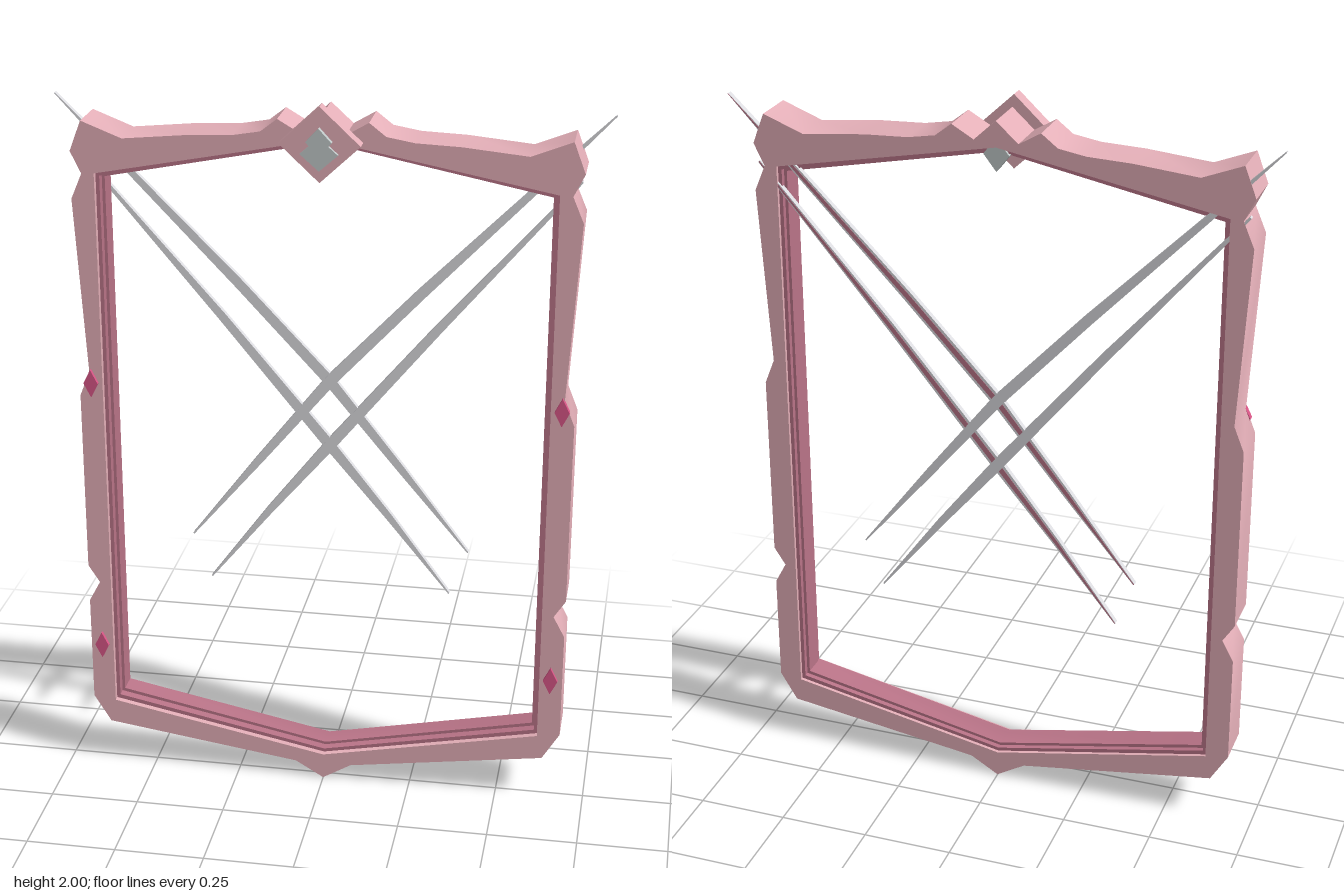
import * as THREE from 'three';
import { toCreasedNormals } from 'three/addons/utils/BufferGeometryUtils.js';

const mat = (name, color) => {
  const m = new THREE.MeshStandardMaterial({ color });
  m.name = name;
  return m;
};

// Mirrors a right-hand outline (top centre to bottom centre) into a closed loop
function mirrored(half) {
  const left = half.slice(1, -1).reverse().map(([x, y]) => [-x, y]);
  return [...half, ...left].map(([x, y]) => new THREE.Vector2(x, y));
}

// Flat slab between two z depths; hole runs opposite to the outline
function slab(name, points, z0, z1, material, hole) {
  const shape = new THREE.Shape(points);
  if (hole) shape.holes.push(new THREE.Path([...hole].reverse()));
  const geo = new THREE.ExtrudeGeometry(shape, { depth: z1 - z0, bevelEnabled: false });
  geo.translate(0, 0, z0);
  const mesh = new THREE.Mesh(toCreasedNormals(geo, Math.PI / 6), material);
  mesh.name = name;
  return mesh;
}

const diamond = (x, y, w, h) =>
  [[x, y + h], [x + w, y], [x, y - h], [x - w, y]].map(([a, b]) => new THREE.Vector2(a, b));

// Inner opening, shrunk by d
const opening = (d) => mirrored([
  [0, 1.9 - d], [0.614 - d, 1.782 - d], [0.614 - d, 0.2 + d], [0, 0.078 + d],
]);

// Tapered spike following a slightly bent path of [x, y, halfWidth]
function spikeOutline(path, side, scale = 1) {
  const edge = (s) => path.map(([x, y, w]) =>
    new THREE.Vector2(side * (x + s * scale * w * 0.76), y + s * scale * w * 0.65));
  return [...edge(1), ...edge(-1).reverse()];
}

export function createModel() {
  const root = new THREE.Group();
  root.name = 'ornateFrame';
  const pink = mat('dusty pink', 0xe4afb8);
  const rose = mat('deep rose', 0xba7488);
  const silver = mat('silver', 0xc0c8c8);
  const steel = mat('bright steel', 0xdcdce0);
  const ruby = mat('ruby pink', 0xd85686);

  // Outer frame with crest, horned corners and notched sides
  const outline = mirrored([
    [0, 1.97], [0.06, 1.915], [0.12, 1.95], [0.165, 1.915], [0.24, 1.902], [0.36, 1.897],
    [0.535, 1.88], [0.645, 1.923], [0.677, 1.84], [0.648, 1.78], [0.678, 1.71],
    [0.65, 1.22], [0.678, 1.15], [0.678, 0.63], [0.646, 0.58], [0.678, 0.52],
    [0.678, 0.21], [0.63, 0.13], [0.08, 0.05], [0, 0.002],
  ]);
  root.add(slab('frame', outline, -0.1, 0.027, pink, opening(0)));

  // Stepped inner lining
  root.add(slab('outerLining', opening(-0.005), -0.09, 0.01, rose, opening(0.01)));
  root.add(slab('innerLining', opening(0.005), -0.075, -0.015, rose, opening(0.018)));

  // Crest plate with overlapping silver diamonds
  root.add(slab('crestPlate', diamond(0, 1.9, 0.107, 0.1), 0.04, 0.08, pink));
  root.add(slab('crestUpperDiamond', diamond(0, 1.91, 0.034, 0.037), 0.08, 0.096, silver));
  root.add(slab('crestLowerDiamond', diamond(0, 1.877, 0.05, 0.044), 0.08, 0.09, silver));
  root.add(slab('backDiamond', diamond(0, 1.88, 0.035, 0.045), -0.098, -0.07, silver));

  // Crossed spikes
  const longSpike = [[-0.745, 1.967, 0.001], [-0.555, 1.772, 0.009], [-0.25, 1.46, 0.014],
    [0, 1.193, 0.0155], [0.2, 0.945, 0.011], [0.393, 0.704, 0.002]];
  const shortSpike = [[-0.665, 1.79, 0.003], [-0.61, 1.725, 0.005], [-0.3, 1.365, 0.012],
    [0, 1.003, 0.0155], [0.17, 0.795, 0.01], [0.342, 0.573, 0.002]];

  for (const side of [1, -1]) {
    const label = side > 0 ? 'Left' : 'Right';
    const z = side > 0 ? -0.099 : -0.097;
    for (const [name, path] of [['longSpike', longSpike], ['shortSpike', shortSpike]]) {
      root.add(slab(name + label, spikeOutline(path, side), z, z + 0.016, steel));
      // Rose inlay on the back of the right-hand pair
      if (side < 0) {
        root.add(slab(name + 'Inlay', spikeOutline(path, side, 0.5), z - 0.001, z, rose));
      }
    }
    // Side gems
    for (const [pos, y] of [['upper', 1.19], ['lower', 0.383]]) {
      root.add(slab(pos + 'Gem' + label, diamond(side * 0.645, y, 0.02, 0.04), 0.02, 0.038, ruby));
    }
  }
  return root;
}
